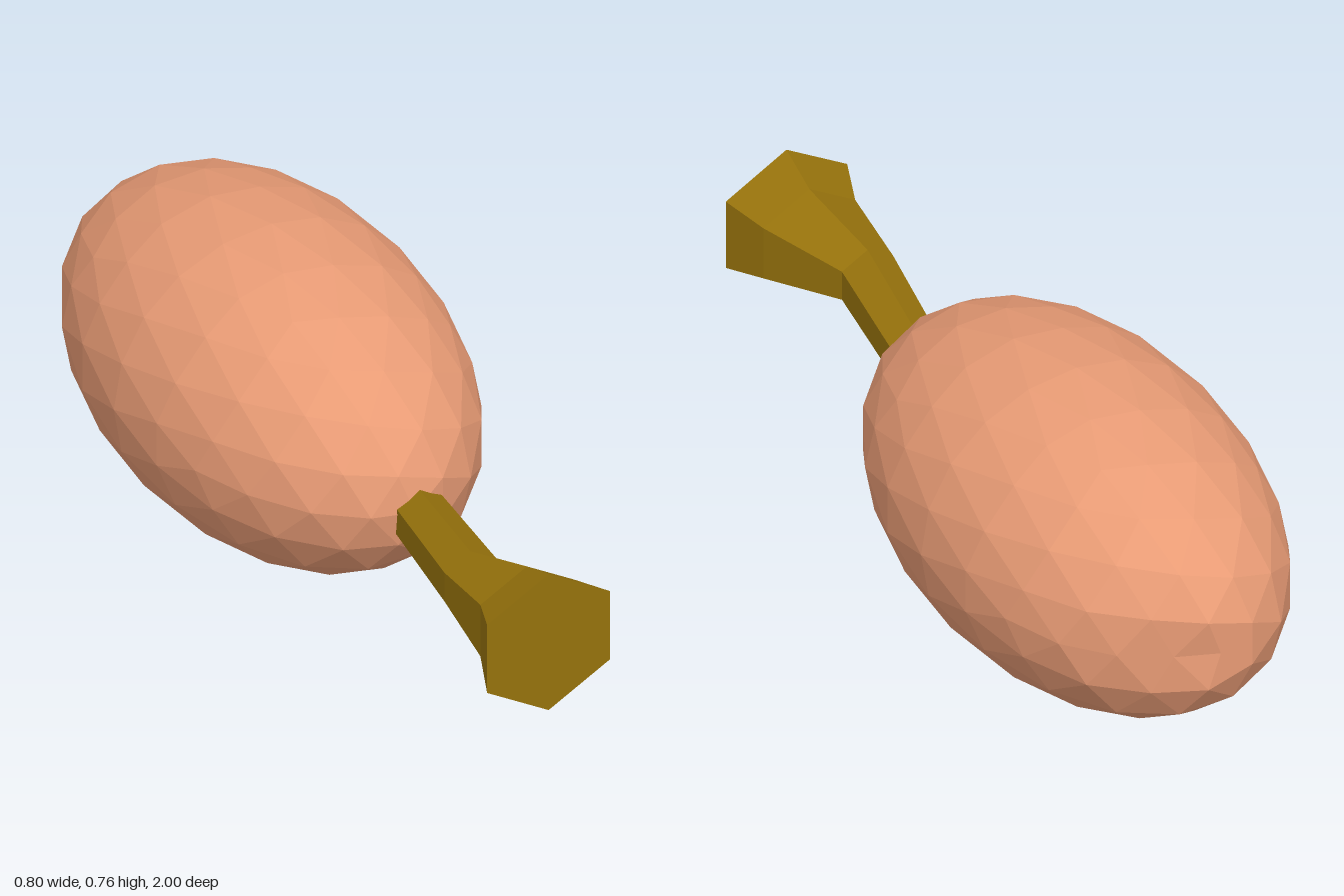
import * as THREE from 'three';

// Faceted egg: an icosphere with its pole on z, the back end cut by two flat planes
function makeMeat() {
  const geometry = new THREE.IcosahedronGeometry(1, 3);
  const t = (1 + Math.sqrt(5)) / 2;
  geometry.rotateZ(-Math.atan(1 / t)); // bring a corner to the pole
  geometry.rotateX(-Math.PI / 2); // lay the pole along z
  geometry.scale(0.4, 0.378, 0.7);
  geometry.translate(0, 0.378, -0.33);

  const p = geometry.attributes.position;
  for (let i = 0; i < p.count; i++) {
    const flatEnd = -1;
    const slantedCut = -1.024 + 0.61 * p.getX(i);
    p.setZ(i, Math.max(p.getZ(i), flatEnd, slantedCut));
  }
  geometry.computeVertexNormals();

  const material = new THREE.MeshStandardMaterial({ color: 0xe89b75, flatShading: true });
  const mesh = new THREE.Mesh(geometry, material);
  mesh.name = 'meat';
  return mesh;
}

// Slightly bent six-sided bone, flaring to a flat knob at the front
function makeBone() {
  const sides = 6;
  // centre x, centre y, z, radius
  const sections = [
    [0.01, 0.38, 1, 0.18],
    [0.012, 0.383, 0.89, 0.136],
    [-0.027, 0.384, 0.69, 0.076],
    [0.018, 0.357, 0.36, 0.068],
    [0.04, 0.345, 0.2, 0.066],
  ];
  const positions = [];
  const index = [];

  for (const [x, y, z, r] of sections) {
    for (let j = 0; j < sides; j++) {
      const a = Math.PI / 2 + (j / sides) * Math.PI * 2;
      positions.push(x + r * Math.cos(a), y + r * Math.sin(a), z);
    }
  }
  for (let i = 0; i < sections.length - 1; i++) {
    for (let j = 0; j < sides; j++) {
      const a = i * sides + j;
      const b = i * sides + ((j + 1) % sides);
      const c = a + sides;
      const d = b + sides;
      index.push(a, c, b, b, c, d);
    }
  }
  // End caps
  const last = (sections.length - 1) * sides;
  for (let j = 1; j < sides - 1; j++) {
    index.push(0, j, j + 1);
    index.push(last, last + j + 1, last + j);
  }

  const indexed = new THREE.BufferGeometry();
  indexed.setAttribute('position', new THREE.Float32BufferAttribute(positions, 3));
  indexed.setIndex(index);
  const geometry = indexed.toNonIndexed();
  geometry.computeVertexNormals();

  const material = new THREE.MeshStandardMaterial({ color: 0x96720c, flatShading: true });
  const mesh = new THREE.Mesh(geometry, material);
  mesh.name = 'bone';
  return mesh;
}

export function createModel() {
  const group = new THREE.Group();
  group.name = 'drumstick';
  group.add(makeMeat(), makeBone());
  return group;
}
